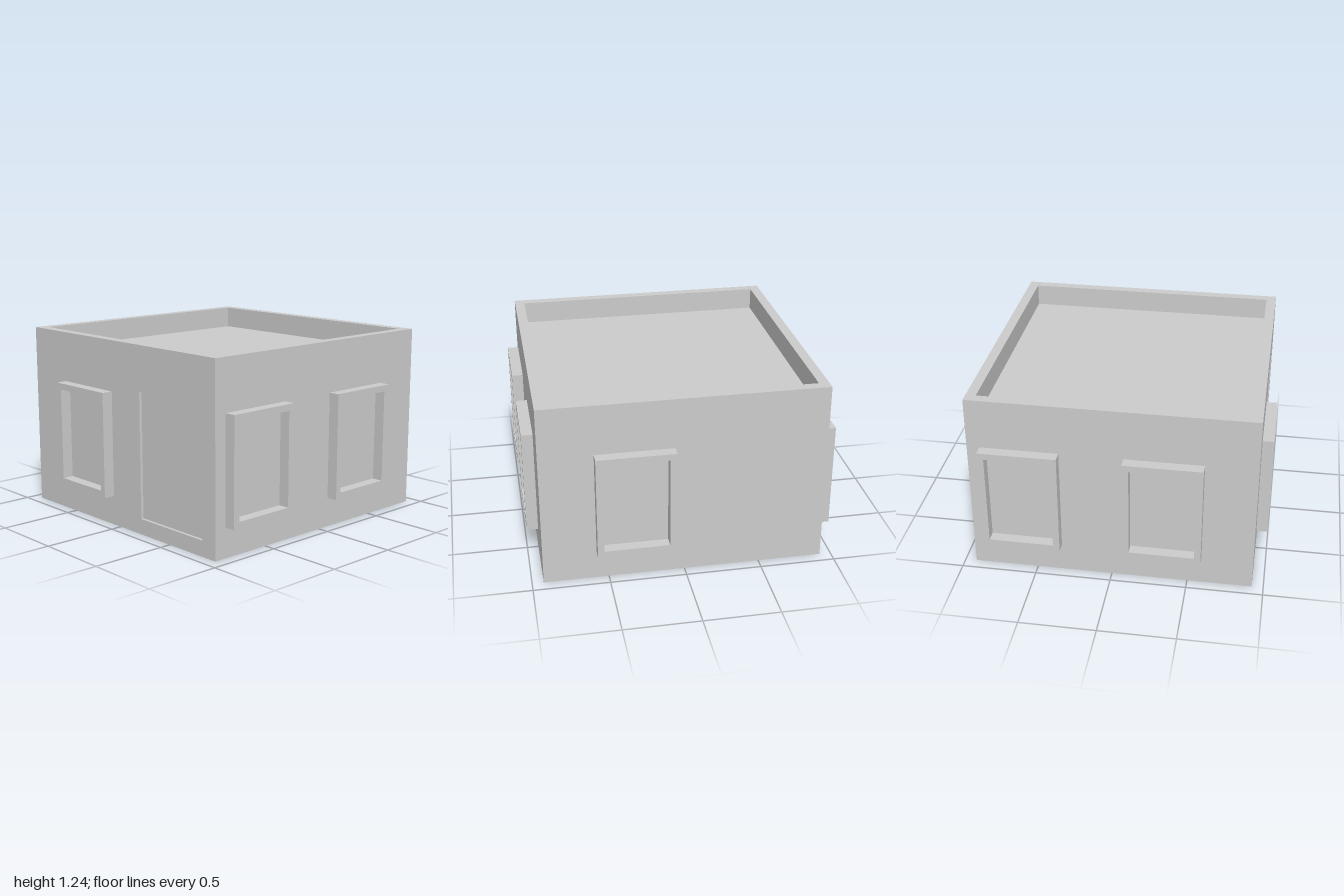
import * as THREE from 'three';

const SIZE = 1.85, HALF = SIZE / 2, HEIGHT = 1.24;
const material = new THREE.MeshStandardMaterial({ color: 0xcccccc, flatShading: true, side: THREE.DoubleSide });

function mesh(name, geometry) {
  const m = new THREE.Mesh(geometry, material);
  m.name = name;
  return m;
}

// Skin through a series of centred rectangles [width, height, z], closed at the last one
function rectLoft(sections) {
  const rings = sections.map(([w, h, z]) =>
    [[-1, -1], [1, -1], [1, 1], [-1, 1]].map(([sx, sy]) => [sx * w / 2, sy * h / 2, z]));
  const pos = [];
  const quad = (a, b, c, d) => pos.push(...a, ...b, ...c, ...a, ...c, ...d);
  for (let k = 0; k < rings.length - 1; k++) {
    for (let i = 0; i < 4; i++) {
      const j = (i + 1) % 4;
      quad(rings[k][i], rings[k][j], rings[k + 1][j], rings[k + 1][i]);
    }
  }
  quad(...rings[rings.length - 1]);
  const g = new THREE.BufferGeometry();
  g.setAttribute('position', new THREE.Float32BufferAttribute(pos, 3));
  g.computeVertexNormals();
  return g;
}

function rectPath(path, x, y, w, h) {
  path.moveTo(x - w / 2, y - h / 2);
  path.lineTo(x + w / 2, y - h / 2);
  path.lineTo(x + w / 2, y + h / 2);
  path.lineTo(x - w / 2, y + h / 2);
  path.closePath();
  return path;
}

// Projecting window frame around a pane lying in the wall plane
const WINDOW = {
  name: 'window', y: 0.55, w: 0.51, h: 0.706,
  sections: [[0.51, 0.706, 0], [0.51, 0.706, 0.075], [0.424, 0.62, 0.075], [0.424, 0.62, 0]],
};
// Shallow recessed door
const DOOR = {
  name: 'door', y: 0.522, w: 0.59, h: 0.835,
  sections: [[0.59, 0.835, 0], [0.59, 0.835, -0.02]],
};

// One thin wall with its openings, facing +z before being turned into place
function wall(name, angle, openings) {
  const group = new THREE.Group();
  group.name = name;
  const shape = rectPath(new THREE.Shape(), 0, HEIGHT / 2, SIZE, HEIGHT);
  for (const [type, x] of openings) {
    shape.holes.push(rectPath(new THREE.Path(), x, type.y, type.w, type.h));
    const part = mesh(type.name, rectLoft(type.sections));
    part.position.set(x, type.y, HALF);
    group.add(part);
  }
  const panel = mesh('wallPanel', new THREE.ShapeGeometry(shape));
  panel.position.z = HALF;
  group.add(panel);
  group.rotation.y = angle;
  return group;
}

export function createModel() {
  const model = new THREE.Group();
  model.name = 'building';

  // Four walls
  model.add(
    wall('frontWall', 0, [[WINDOW, -0.587], [WINDOW, 0.335]]),
    wall('backWall', Math.PI, [[WINDOW, -0.587], [WINDOW, 0.335]]),
    wall('leftWall', Math.PI / 2, [[WINDOW, -0.322]]),
    wall('rightWall', -Math.PI / 2, [[WINDOW, -0.322], [DOOR, 0.512]]),
  );

  // Parapet rim stepping down to the sunken flat roof
  const roof = mesh('roof', rectLoft([[SIZE, SIZE, HEIGHT], [1.716, 1.716, HEIGHT], [1.716, 1.716, 1.09]]));
  roof.rotation.x = -Math.PI / 2;
  model.add(roof);

  return model;
}
